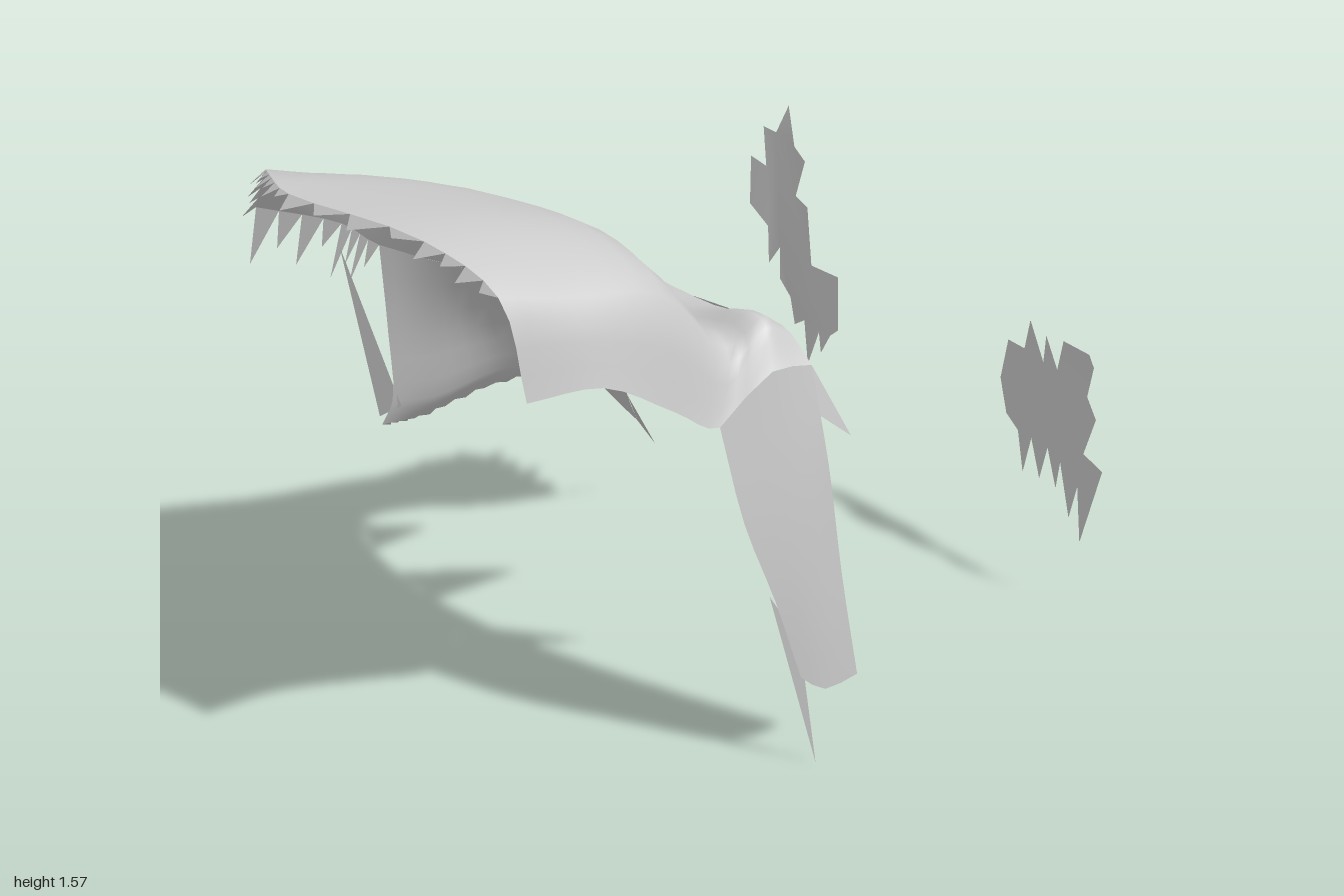
import * as THREE from 'three';

const V = (p) => new THREE.Vector3(...p);

export function createModel() {
  const group = new THREE.Group();
  const cloth = new THREE.MeshStandardMaterial({ color: 0xcccccc, side: THREE.DoubleSide });
  cloth.name = 'pale grey cloth';

  function add(name, geometry) {
    const mesh = new THREE.Mesh(geometry, cloth);
    mesh.name = name;
    group.add(mesh);
  }

  const curve = (points) => new THREE.CatmullRomCurve3(points, false, 'centripetal');

  // Smooth sheet through a small grid of guide points; returns its grid rows
  function sheet(name, guides, rows, cols) {
    const across = guides.map((g) => {
      const c = curve(g.map(V));
      return Array.from({ length: cols + 1 }, (_, j) => c.getPoint(j / cols));
    });
    const columns = across[0].map((_, j) => curve(across.map((r) => r[j])));
    const grid = [];
    for (let i = 0; i <= rows; i++) grid.push(columns.map((c) => c.getPoint(i / rows)));
    const index = [];
    const w = cols + 1;
    for (let i = 0; i < rows; i++) {
      for (let j = 0; j < cols; j++) {
        const a = i * w + j;
        index.push(a, a + w, a + 1, a + 1, a + w, a + w + 1);
      }
    }
    const geometry = new THREE.BufferGeometry().setFromPoints(grid.flat());
    geometry.setIndex(index);
    geometry.computeVertexNormals();
    add(name, geometry);
    return grid;
  }

  // Loose triangles, each given as three points
  function tatters(name, triangles) {
    const geometry = new THREE.BufferGeometry().setFromPoints(triangles.flat());
    geometry.computeVertexNormals();
    add(name, geometry);
  }

  // Row of torn points along an edge
  function fringe(name, edge, offset) {
    const triangles = [];
    for (let i = 0; i + 1 < edge.length; i++) {
      const a = edge[i], b = edge[i + 1];
      const size = [1, 0.65, 0.9, 0.5][i % 4];
      const tip = a.clone().lerp(b, 0.3).addScaledVector(V(offset), size);
      triangles.push([a, b, tip]);
    }
    tatters(name, triangles);
  }

  // Domed top, front rib to back rib, each from the right edge to the left edge
  const dome = sheet('domedTop', [
    [[-.33, 1.32, .84], [-.22, 1.45, .86], [-.02, 1.54, .94], [.13, 1.56, .97], [.46, 1.55, .85], [.61, 1.47, .78], [.66, 1.25, .755]],
    [[-.35, 1.21, .62], [-.27, 1.33, .63], [-.08, 1.43, .63], [.16, 1.48, .62], [.44, 1.495, .62], [.61, 1.42, .62], [.67, 1.23, .58]],
    [[-.38, 1.11, .51], [-.28, 1.22, .46], [-.1, 1.31, .41], [.14, 1.36, .37], [.42, 1.4, .37], [.6, 1.35, .38], [.67, 1.11, .4]],
    [[-.34, .98, .26], [-.24, 1.07, .28], [-.1, 1.13, .26], [.12, 1.15, .23], [.4, 1.16, .21], [.6, 1.17, .21], [.67, 1.03, .28]],
    [[-.27, .92, .12], [-.18, 1.02, .15], [-.05, 1.11, .16], [.14, 1.15, .16], [.4, 1.165, .15], [.6, 1.215, .12], [.67, 1.12, .14]],
    [[-.16, .83, -.03], [-.1, .95, .03], [0, 1.07, .07], [.15, 1.13, .1], [.4, 1.15, .09], [.59, 1.17, .05], [.67, 1.1, .03]],
  ], 20, 24);

  // Hanging curtain on the right, top row to hem, front round to back
  const curtain = sheet('rightCurtain', [
    [8, 10, 12, 16, 20].map((i) => dome[i][0].toArray()),
    [[-.48, .8, .45], [-.5, .75, .31], [-.5, .72, .13], [-.41, .69, -.05], [-.21, .7, -.07]],
    [[-.56, .55, .41], [-.59, .5, .26], [-.61, .5, .02], [-.52, .49, -.15], [-.29, .5, -.16]],
    [[-.59, .47, .43], [-.66, .41, .28], [-.69, .41, .01], [-.6, .42, -.2], [-.37, .35, -.25]],
  ], 9, 16);

  // Narrow leg on the left
  sheet('leftLeg', [
    [[.67, 1.03, .28], [.67, 1.12, .14], [.67, 1.1, .03]],
    [[.7, .78, .23], [.71, .8, .1], [.71, .85, 0]],
    [[.72, .55, .15], [.73, .55, .06], [.73, .55, -.04]],
    [[.73, .3, .07], [.74, .24, 0], [.75, .25, -.09]],
  ], 9, 4);

  // Torn edges
  fringe('frontFringe', dome[0].slice(0, 21), [-.02, -.03, .03]);
  fringe('rightFringe', dome.slice(0, 9).map((row) => row[0]), [-.06, -.16, .02]);
  fringe('curtainHem', curtain[9], [-.06, -.05, -.05]);
  tatters('longTatters', [
    [[.02, 1.085, .08], [.19, 1.135, .1], [.05, .97, -.03]],
    [[.33, 1.145, .095], [.52, 1.165, .07], [.31, .88, -.1]],
    [[.67, 1.1, .03], [.69, .98, .02], [.69, .89, -.08]],
    [[.7, .55, .15], [.72, .4, .07], [.72, 0, 0]],
    [[-.37, 1.14, .62], [-.6, .49, .43], [-.57, .52, .38]],
    [[-.29, .5, -.16], [-.37, .35, -.25], [-.42, .21, -.35]],
  ].map((t) => t.map(V)));

  // Two loose ragged scraps behind, gently bowed
  function scrap(name, outline, bow) {
    const shape = new THREE.Shape(outline.map(([x, y]) => new THREE.Vector2(x, y)));
    const geometry = new THREE.ShapeGeometry(shape);
    const p = geometry.attributes.position;
    for (let i = 0; i < p.count; i++) p.setZ(i, -1 + bow(p.getX(i), p.getY(i)));
    geometry.computeVertexNormals();
    add(name, geometry);
  }
  scrap('leftScrap', [
    [.28, .54], [.29, .66], [.35, .66], [.36, .75], [.42, .65], [.42, .73], [.47, .65], [.48, .74], [.57, .74],
    [.59, .71], [.58, .62], [.62, .57], [.6, .46], [.67, .44], [.64, .21], [.6, .36], [.59, .26], [.53, .4],
    [.53, .32], [.48, .42], [.47, .32], [.42, .42], [.41, .31], [.37, .42], [.32, .45],
  ], (x, y) => 0.03 * Math.max(0, (0.6 - y) / 0.4));
  scrap('rightScrap', [
    [-.75, .84], [-.7, .82], [-.72, .94], [-.68, .93], [-.65, 1.02], [-.62, .9], [-.57, .87], [-.6, .75],
    [-.55, .73], [-.52, .55], [-.4, .56], [-.37, .4], [-.4, .37], [-.43, .3], [-.45, .36], [-.48, .24],
    [-.52, .37], [-.56, .34], [-.59, .42], [-.63, .47], [-.64, .57], [-.67, .51], [-.68, .63], [-.74, .69],
  ], (x, y) => 0.4 * Math.max(0, -0.58 - x - 0.2 * Math.max(0, y - 0.7)) + 0.1 * Math.max(0, 0.55 - y));

  return group;
}
